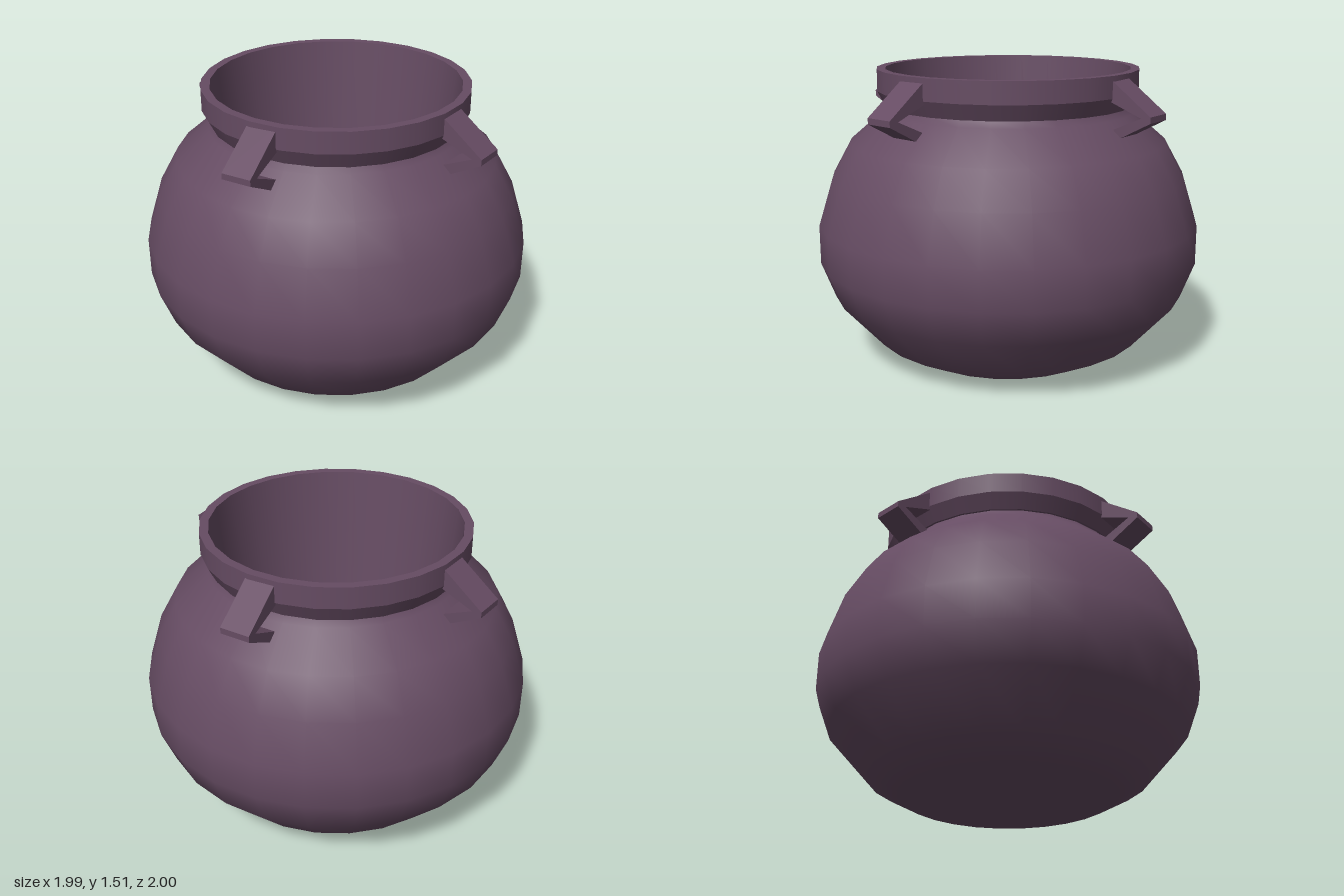
import * as THREE from 'three';

const SIDES = 26;
const material = new THREE.MeshStandardMaterial({ color: 0x664c63 });

// One smooth band of revolution; separate bands keep the edges between them sharp.
function band(name, profile) {
  const points = profile.map(([r, y]) => new THREE.Vector2(r, y));
  const mesh = new THREE.Mesh(new THREE.LatheGeometry(points, SIDES, -0.03), material);
  mesh.name = name;
  return mesh;
}

// Bent strap handle: side profile (radius, height) extruded across its width.
function makeHandle(degrees) {
  const width = 0.155;
  const profile = [
    [0.64, 1.40], [0.83, 1.325], [0.64, 1.24], [0.64, 1.18],
    [0.72, 1.22], [0.88, 1.305], [0.88, 1.335], [0.64, 1.515],
  ];
  const shape = new THREE.Shape(profile.map(([r, y]) => new THREE.Vector2(r, y)));
  const geometry = new THREE.ExtrudeGeometry(shape, { depth: width, bevelEnabled: false });
  geometry.translate(0, 0, -width / 2);
  const mesh = new THREE.Mesh(geometry, material);
  mesh.name = 'handle';
  mesh.rotation.y = THREE.MathUtils.degToRad(degrees - 90);
  return mesh;
}

export function createModel() {
  const pot = new THREE.Group();
  pot.name = 'pot';

  // Rounded body with a flat base
  pot.add(band('belly', [
    [0, 0], [0.54, 0.005], [0.72, 0.1], [0.93, 0.335], [1, 0.52],
    [1, 0.72], [0.925, 0.96], [0.825, 1.14], [0.65, 1.29], [0.63, 1.325],
  ]));

  // Collar and rim
  pot.add(band('collarUnderside', [[0.62, 1.325], [0.64, 1.325]]));
  pot.add(band('collarTaper', [[0.64, 1.325], [0.68, 1.405]]));
  pot.add(band('rimBand', [[0.68, 1.405], [0.68, 1.515]]));
  pot.add(band('rimTop', [[0.68, 1.515], [0.635, 1.515]]));

  // Hollow inside
  pot.add(band('innerWall', [[0.635, 1.515], [0.5, 0.1]]));
  pot.add(band('innerFloor', [[0.5, 0.1], [0, 0.1]]));

  // Two opposite pairs of handles, angles measured from the front toward the left
  for (const angle of [18.5, 114.5]) {
    pot.add(makeHandle(angle), makeHandle(angle + 180));
  }
  return pot;
}
